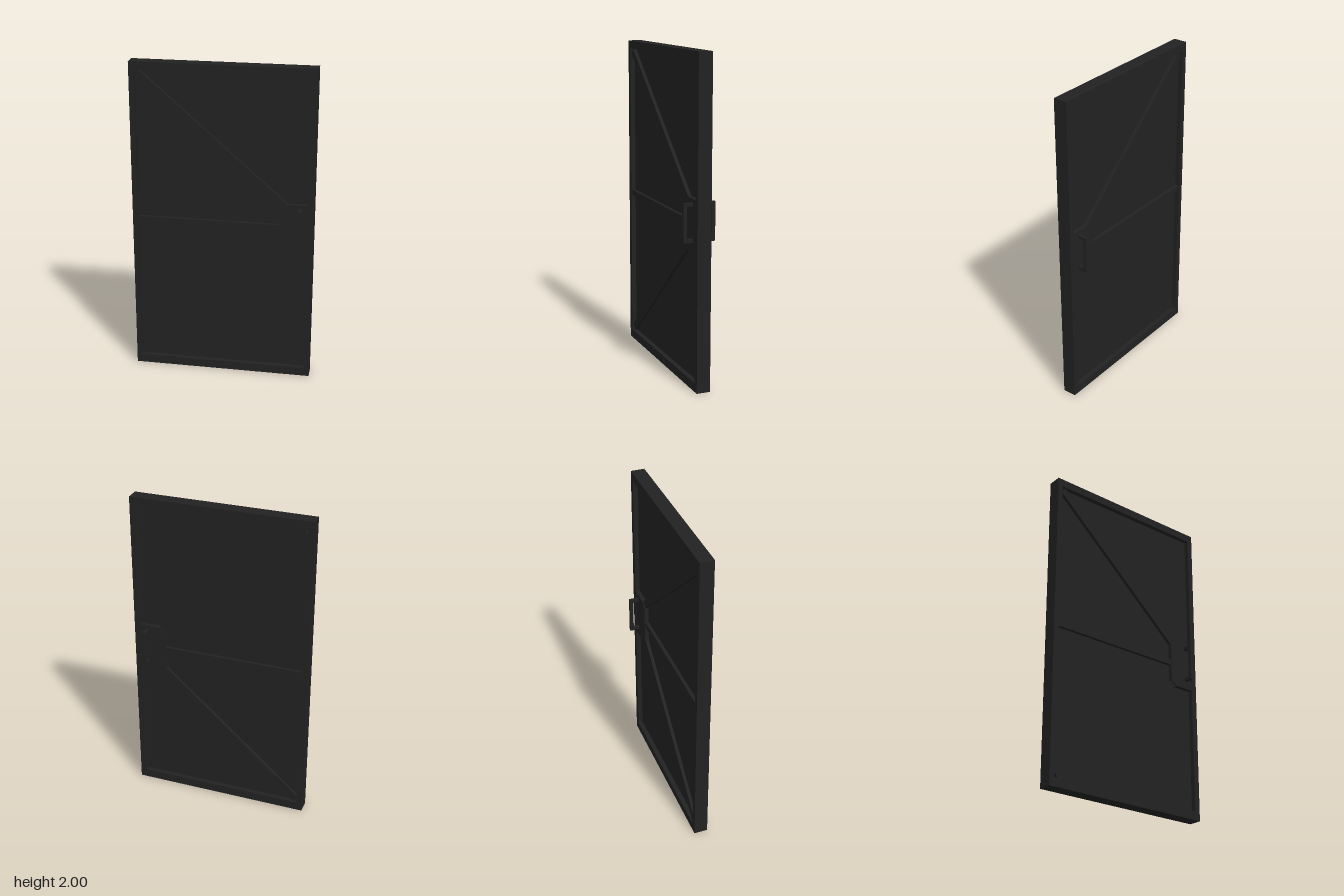
import * as THREE from 'three';

const W = 0.563, IN_L = -0.53, IN_R = 0.527, IN_B = 0.055, IN_T = 1.95, MID = 1.004;
const metal = new THREE.MeshStandardMaterial({ color: 0x222222 });
metal.name = 'blackMetal';

function add(group, name, geometry, x = 0, y = 0, z = 0) {
  const mesh = new THREE.Mesh(geometry, metal);
  mesh.name = name;
  mesh.position.set(x, y, z);
  group.add(mesh);
  return mesh;
}

const outline = (pts) => pts.map(([x, y]) => new THREE.Vector2(x, y));

// Extrudes an outline equally to both faces of the door
function slab(pts, halfDepth, holes = []) {
  const shape = new THREE.Shape(outline(pts));
  for (const hole of holes) shape.holes.push(new THREE.Path(outline(hole)));
  return new THREE.ExtrudeGeometry(shape, { depth: 2 * halfDepth, bevelEnabled: false })
    .translate(0, 0, -halfDepth);
}

const rect = (l, b, r, t) => [[l, b], [r, b], [r, t], [l, t]];

export function createModel() {
  const door = new THREE.Group();
  door.name = 'door';

  // Outer frame and recessed sheet
  add(door, 'frame', slab(rect(-W, 0, W, 2), 0.043, [rect(IN_L, IN_B, IN_R, IN_T)]));
  add(door, 'panel', slab(rect(IN_L, IN_B, IN_R, IN_T), 0.013));

  // Middle rail and the two diagonal braces
  add(door, 'middleRail', slab(rect(IN_L, MID - 0.018, 0.36, MID + 0.018), 0.034));
  for (const s of [1, -1]) {
    const pts = [[0.36, 0.128], [0.4, 0.155], [-0.503, 0.946], [-0.53, 0.91]]
      .map(([x, y]) => [x, MID + s * y]);
    add(door, s > 0 ? 'upperBrace' : 'lowerBrace', slab(pts, 0.034));
  }

  // Lock plate with clipped corners
  add(door, 'lockPlate', slab([
    [0.36, MID - 0.128], [0.4, MID - 0.155], [IN_R, MID - 0.155],
    [IN_R, MID + 0.155], [0.4, MID + 0.155], [0.36, MID + 0.128],
  ], 0.04));

  // Pull handle on each face
  for (const s of [1, -1]) {
    const handle = new THREE.Group();
    handle.name = s > 0 ? 'frontHandle' : 'backHandle';
    add(handle, 'grip', new THREE.BoxGeometry(0.02, 0.236, 0.022), 0.48, 1.018, s * 0.089);
    for (const y of [0.911, 1.125]) {
      add(handle, 'handleArm', new THREE.BoxGeometry(0.02, 0.022, 0.042), 0.48, y, s * 0.058);
    }
    door.add(handle);
  }
  return door;
}
